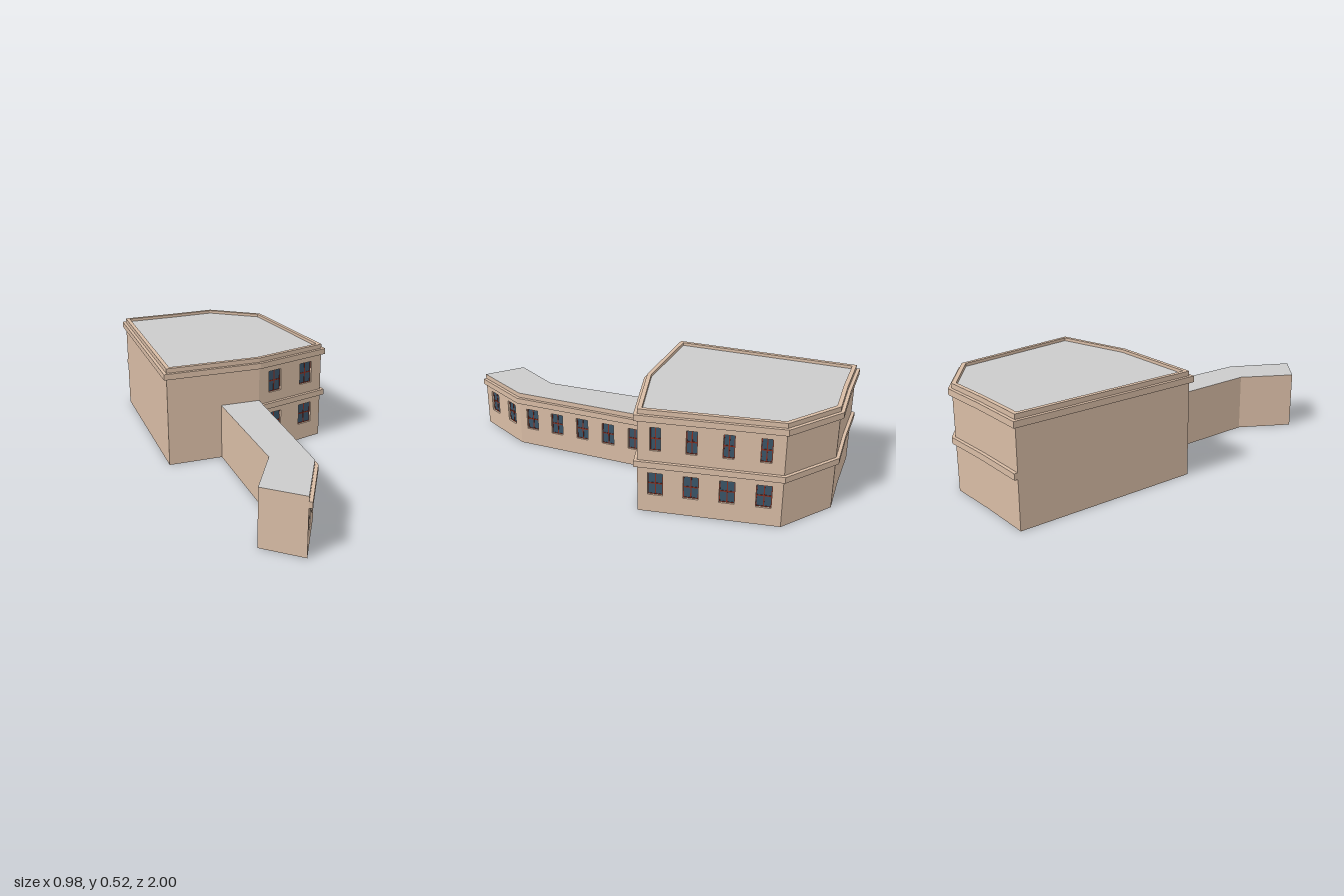
import * as THREE from 'three';

const mat = (color) => new THREE.MeshStandardMaterial({ color, side: THREE.DoubleSide, flatShading: true });
const wallMat = mat(0xd8bca5), roofMat = mat(0xcccccc), glassMat = mat(0x3a5468), redMat = mat(0x8a2f20);

// Plan corners as [x, z], running front -> right -> back -> left
const A = [-0.388, 0], B = [0.093, -0.045], C = [0.47, -0.185], D = [0.308, -0.825];
const E = [0.04, -0.98], F = [-0.2, -0.946], G = [-0.474, -0.917];
const J = [-0.11, -0.026], K = [-0.04, 0.607], L = [-0.16, 0.868], M = [0.018, 0.995], N = [0.147, 0.685];
const mainPlan = [A, B, C, D, E, F, G];
const wingPlan = [J, K, L, M, N, B];

const TOP = 0.518, CORNICE = 0.465, WING_TOP = 0.289, REVEAL = 0.013;

function add(parent, name, geometry, material) {
  const mesh = new THREE.Mesh(geometry, material);
  mesh.name = name;
  parent.add(mesh);
  return mesh;
}

// Mitred outward offset of a plan line
function offset(points, d, closed) {
  const n = points.length;
  const normal = (a, b) => {
    const dx = b[0] - a[0], dz = b[1] - a[1], l = Math.hypot(dx, dz);
    return [-dz / l, dx / l];
  };
  return points.map((p, i) => {
    const prev = closed || i > 0 ? points[(i + n - 1) % n] : null;
    const next = closed || i < n - 1 ? points[(i + 1) % n] : null;
    const n1 = prev ? normal(prev, p) : normal(p, next);
    const n2 = next ? normal(p, next) : n1;
    const k = d / (1 + n1[0] * n2[0] + n1[1] * n2[1]);
    return [p[0] + (n1[0] + n2[0]) * k, p[1] + (n1[1] + n2[1]) * k];
  });
}

const toPlan = (points) => points.map(([x, z]) => new THREE.Vector2(x, -z));

// Horizontal plate at height y, or a solid of height h with an optional hole
function plate(points, y, h = 0, hole = null) {
  const shape = new THREE.Shape(toPlan(points));
  if (hole) shape.holes.push(new THREE.Path(toPlan(hole)));
  const g = h ? new THREE.ExtrudeGeometry(shape, { depth: h, bevelEnabled: false }) : new THREE.ShapeGeometry(shape);
  return g.rotateX(-Math.PI / 2).translate(0, y, 0);
}

const rect = (Type, x0, y0, x1, y1) => new Type([
  new THREE.Vector2(x0, y0), new THREE.Vector2(x1, y0), new THREE.Vector2(x1, y1), new THREE.Vector2(x0, y1)]);

// Rectangular ring of border b around an opening of w x h
function ring(w, h, b, depth) {
  const s = rect(THREE.Shape, -w / 2 - b, -h / 2 - b, w / 2 + b, h / 2 + b);
  s.holes.push(rect(THREE.Path, -w / 2, -h / 2, w / 2, h / 2));
  return new THREE.ExtrudeGeometry(s, { depth, bevelEnabled: false });
}

// Recessed window with reveal, red frame and crossed glazing bars
function makeWindow(w, h) {
  const g = new THREE.Group();
  g.name = 'window';
  add(g, 'windowReveal', ring(w, h, 0.003, REVEAL - 0.0005), wallMat).position.z = -REVEAL;
  add(g, 'windowGlass', new THREE.BoxGeometry(w, h, 0.002), glassMat).position.z = -REVEAL;
  add(g, 'windowFrame', ring(w - 0.006, h - 0.006, 0.003, 0.003), redMat).position.z = -REVEAL;
  add(g, 'windowMullion', new THREE.BoxGeometry(0.005, h, 0.006), redMat).position.z = -REVEAL;
  add(g, 'windowTransom', new THREE.BoxGeometry(w, 0.006, 0.006), redMat).position.z = -REVEAL;
  return g;
}

// Upright wall from a to b, with evenly spaced windows in each row
function wall(parent, name, a, b, y0, y1, rows = []) {
  const dx = b[0] - a[0], dz = b[1] - a[1], len = Math.hypot(dx, dz);
  const g = new THREE.Group();
  g.name = name;
  g.position.set(a[0], 0, a[1]);
  g.rotation.y = Math.atan2(-dz, dx);
  const shape = rect(THREE.Shape, 0, y0, len, y1);
  for (const { count, w, bottom, top } of rows) {
    for (let i = 0; i < count; i++) {
      const u = len * (i + 0.5) / count;
      shape.holes.push(rect(THREE.Path, u - w / 2, bottom, u + w / 2, top));
      const win = makeWindow(w, top - bottom);
      win.position.set(u, (bottom + top) / 2, 0);
      g.add(win);
    }
  }
  add(g, name + 'Panel', new THREE.ShapeGeometry(shape), wallMat);
  parent.add(g);
}

export function createModel() {
  const model = new THREE.Group();
  model.name = 'building';
  const lower = (count, w) => ({ count, w, bottom: 0.09, top: 0.203 });
  const upper = (count, w) => ({ count, w, bottom: 0.318, top: 0.434 });

  // Main block
  const main = new THREE.Group();
  main.name = 'mainBlock';
  wall(main, 'frontWall', A, J, 0, CORNICE);
  wall(main, 'frontWallOverWing', J, B, WING_TOP, CORNICE);
  wall(main, 'frontWindowWall', B, C, 0, CORNICE, [lower(2, 0.083), upper(2, 0.077)]);
  wall(main, 'rightWall', C, D, 0, CORNICE, [lower(4, 0.07), upper(4, 0.05)]);
  wall(main, 'backCornerWall', D, E, 0, CORNICE);
  wall(main, 'backWall', E, F, 0, CORNICE);
  wall(main, 'backWall', F, G, 0, CORNICE);
  wall(main, 'leftWall', G, A, 0, CORNICE);
  const inner = offset(mainPlan, -0.02, true);
  add(main, 'parapet', plate(mainPlan, CORNICE, TOP - CORNICE, inner), wallMat);
  add(main, 'cornice', plate(offset(mainPlan, 0.016, true), CORNICE, 0.03, mainPlan), wallMat);
  add(main, 'mainRoof', plate(inner, 0.503), roofMat);

  // Bent single-storey wing
  const wing = new THREE.Group();
  wing.name = 'wing';
  wall(wing, 'wingLeftWall', J, K, 0, WING_TOP);
  wall(wing, 'wingLeftWall', K, L, 0, WING_TOP);
  wall(wing, 'wingEndWall', L, M, 0, WING_TOP);
  wall(wing, 'wingRightWall', M, N, 0, WING_TOP, [lower(2, 0.073)]);
  wall(wing, 'wingRightWall', N, B, 0, WING_TOP, [lower(5, 0.066)]);
  add(wing, 'wingRoof', plate(wingPlan, WING_TOP), roofMat);

  // Ledge between the storeys, along the wing and round to the back left corner
  const path = [M, N, B, C, D, E, F, G];
  const band = [...path, ...offset(path, 0.016, false).reverse()];
  add(model, 'storeyLedge', plate(band, 0.235, 0.03), wallMat);

  model.add(main, wing);
  return model;
}
